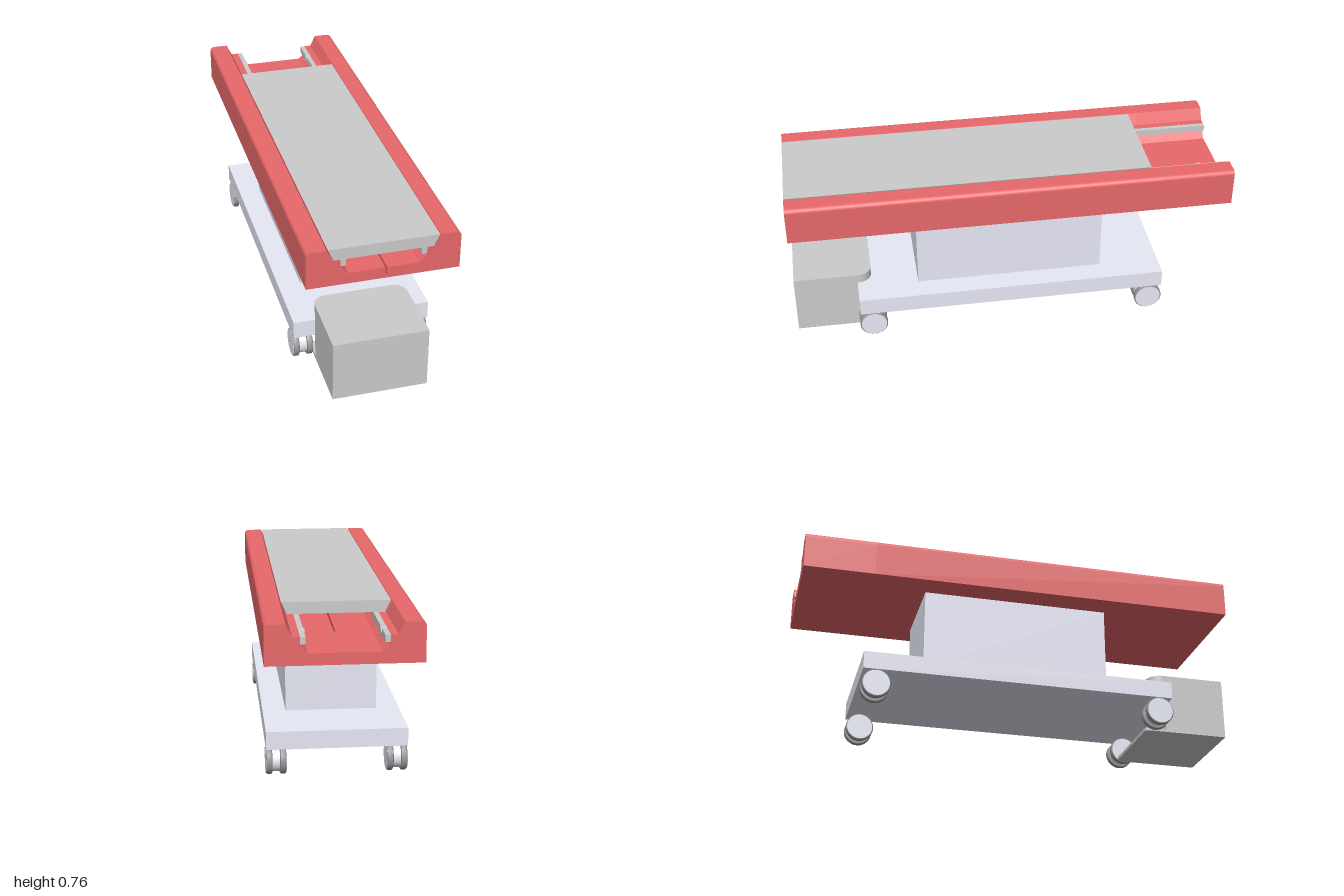
import * as THREE from 'three';

const grey = new THREE.MeshStandardMaterial({ color: 0xcccccc });
const tyreGrey = new THREE.MeshStandardMaterial({ color: 0x999999 });
const pale = new THREE.MeshStandardMaterial({ color: 0xe6e8f5 });
const red = new THREE.MeshStandardMaterial({ color: 0xe8686a });

export function createModel() {
  const root = new THREE.Group();

  function add(name, geometry, material, parent = root) {
    const mesh = new THREE.Mesh(geometry, material);
    mesh.name = name;
    parent.add(mesh);
    return mesh;
  }

  // Box given by its extents on each axis
  function box(name, material, [x0, x1], [y0, y1], [z0, z1], parent = root) {
    const mesh = add(name, new THREE.BoxGeometry(x1 - x0, y1 - y0, z1 - z0), material, parent);
    mesh.position.set((x0 + x1) / 2, (y0 + y1) / 2, (z0 + z1) / 2);
    return mesh;
  }

  // Cross-section in x, y swept from z0 to z1
  function sweep(name, shape, material, z0, z1) {
    const geometry = new THREE.ExtrudeGeometry(shape, { depth: z1 - z0, bevelEnabled: false, curveSegments: 8 });
    add(name, geometry, material).position.z = z0;
  }

  // Channel-shaped bed, with an optional slot in its floor
  function bedShape(slot) {
    const s = new THREE.Shape();
    s.moveTo(-0.323, 0.587);
    s.lineTo(0.323, 0.587);
    s.lineTo(0.323, 0.737);
    s.absarc(0.303, 0.737, 0.02, 0, Math.PI / 2, false);
    const inner = [[0.237, 0.757], [0.212, 0.705], [0.18, 0.705], [0.18, 0.667], [0.149, 0.637]];
    inner.forEach(([x, y]) => s.lineTo(x, y));
    if (slot) [[0.014, 0.637], [0.014, 0.595], [0.006, 0.595], [0.006, 0.637]].forEach(([x, y]) => s.lineTo(x, y));
    inner.slice().reverse().forEach(([x, y]) => s.lineTo(-x, y));
    s.lineTo(-0.303, 0.757);
    s.absarc(-0.303, 0.737, 0.02, Math.PI / 2, Math.PI, false);
    s.closePath();
    return s;
  }
  sweep('bedRear', bedShape(false), red, -1, -0.68);
  sweep('bedMain', bedShape(true), red, -0.68, 1);

  // Sliding table top with bevelled sides
  const panel = new THREE.Shape([[-0.208, 0.706], [0.208, 0.706], [0.232, 0.758], [-0.232, 0.758]]
    .map(([x, y]) => new THREE.Vector2(x, y)));
  sweep('tableTop', panel, grey, -0.64, 1);

  // Guide rails and their rollers
  for (const side of [-1, 1]) {
    const rail = new THREE.Group();
    rail.name = side > 0 ? 'leftRail' : 'rightRail';
    root.add(rail);
    box('railBar', grey, [side * 0.169 - 0.011, side * 0.169 + 0.011], [0.675, 0.705], [-1, 1], rail);
    const roller = add('railRoller', new THREE.CylinderGeometry(0.018, 0.018, 0.026, 16), grey, rail);
    roller.rotation.z = Math.PI / 2;
    roller.position.set(side * 0.167, 0.69, -0.88);
  }

  // Small drive block on the channel floor
  box('driveBlock', grey, [-0.122, -0.081], [0.637, 0.693], [-0.03, 0.03]);
  box('drivePlate', grey, [-0.135, -0.068], [0.636, 0.639], [-0.05, 0.05]);

  // Pedestal and chassis
  box('pedestal', pale, [-0.203, 0.203], [0.21, 0.588], [-0.43, 0.43]);
  box('chassis', pale, [-0.305, 0.305], [0.13, 0.21], [-0.71, 0.71]);

  // Twin-disc wheels
  const tyreProfile = [[0.0, -0.0135], [0.058, -0.0135], [0.064, -0.009], [0.064, 0.009], [0.058, 0.0135], [0.0, 0.0135]];
  const tyreGeometry = new THREE.LatheGeometry(tyreProfile.map(([r, y]) => new THREE.Vector2(r, y)), 32);
  for (const x of [-0.261, 0.261]) {
    for (const z of [-0.65, 0.65]) {
      const wheel = new THREE.Group();
      wheel.name = 'wheel';
      wheel.position.set(x, 0.066, z);
      wheel.rotation.z = Math.PI / 2;
      root.add(wheel);
      add('hub', new THREE.CylinderGeometry(0.052, 0.052, 0.06, 32), pale, wheel);
      for (const side of [-1, 1]) {
        add('tyre', tyreGeometry, tyreGrey, wheel).position.y = side * 0.03;
        const cap = add('wheelCap', new THREE.CylinderGeometry(0.059, 0.059, 0.001, 32), pale, wheel);
        cap.position.y = side * 0.0438;
      }
    }
  }

  // Plate in plan with rounded rear corners
  function roundedPlate(name, y0, y1, zBack, zFront, r) {
    const s = new THREE.Shape();
    s.moveTo(-0.209, -zFront);
    s.lineTo(0.209, -zFront);
    s.lineTo(0.209, -zBack - r);
    s.absarc(0.209 - r, -zBack - r, r, 0, Math.PI / 2, false);
    s.lineTo(-0.209 + r, -zBack);
    s.absarc(-0.209 + r, -zBack - r, r, Math.PI / 2, Math.PI, false);
    s.closePath();
    const geometry = new THREE.ExtrudeGeometry(s, { depth: y1 - y0, bevelEnabled: false, curveSegments: 8 });
    geometry.rotateX(-Math.PI / 2);
    add(name, geometry, grey).position.y = y0;
  }

  // Power unit clasping the front of the chassis
  box('unitBody', grey, [-0.209, 0.209], [0.018, 0.243], [0.71, 1]);
  roundedPlate('unitTop', 0.243, 0.285, 0.645, 1, 0.06);
  roundedPlate('unitFloor', 0.003, 0.018, 0.61, 1, 0.02);

  return root;
}
